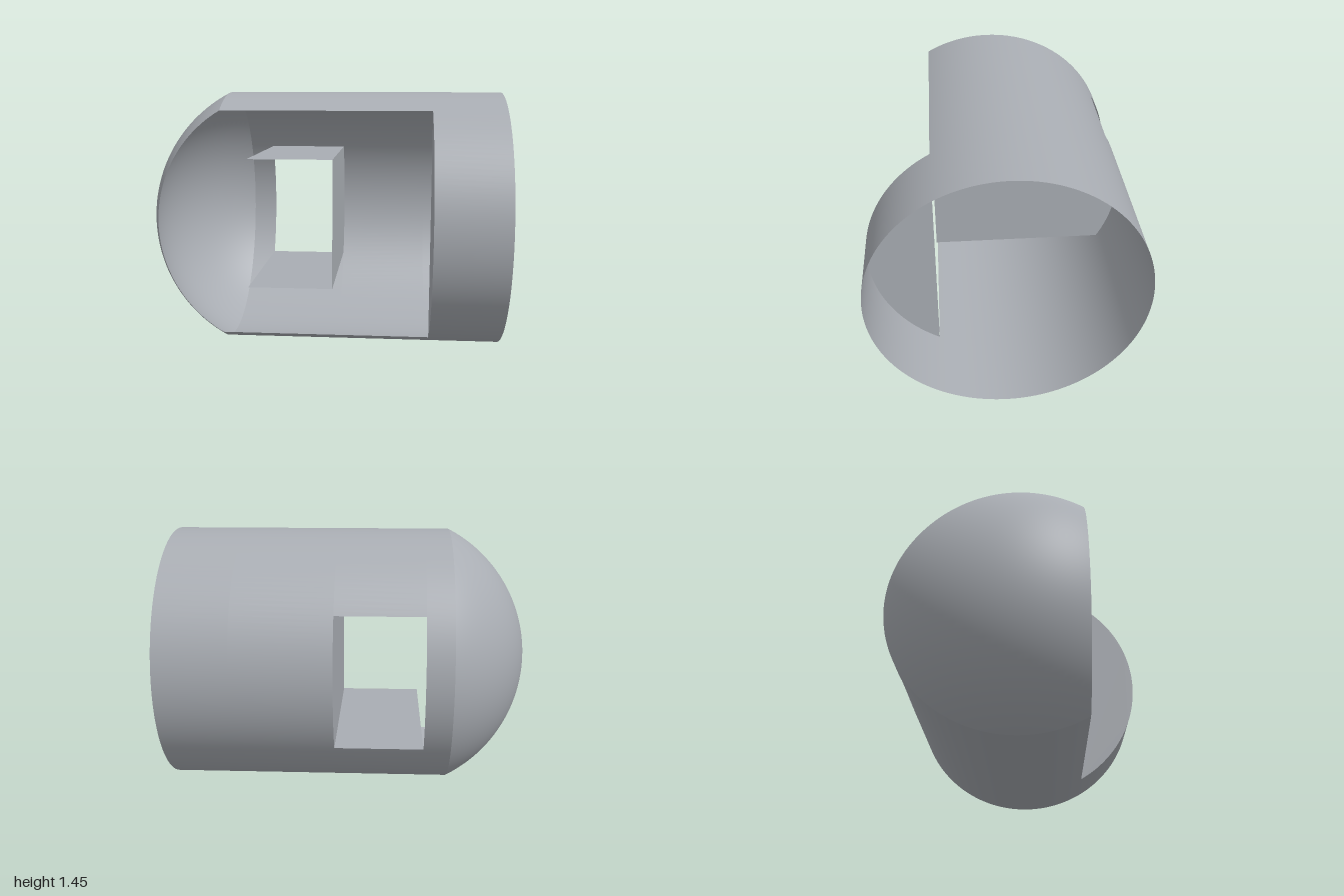
import * as THREE from 'three';

export function createModel() {
  const group = new THREE.Group();
  const grey = new THREE.MeshStandardMaterial({ color: 0xa9adb3, side: THREE.DoubleSide });
  grey.name = 'grey';

  const R = 0.7235;                                   // tube radius
  const half = R / 2;                                 // front cut plane and half height of the rear window
  const domeX = -0.555, winL = -0.41, winR = 0.065, cutX = 0.603, endX = 1;
  const rad = THREE.MathUtils.degToRad;

  const add = (name, geometry) => {
    const mesh = new THREE.Mesh(geometry, grey);
    mesh.name = name;
    mesh.position.y = R;
    group.add(mesh);
    return mesh;
  };

  // Tube wall: open bands along x; angle 0 is the front, 180 the back
  const band = (name, x0, x1, from, to) => {
    const g = new THREE.CylinderGeometry(R, R, x1 - x0, Math.round((to - from) / 2.5), 1, true, rad(from), rad(to - from));
    g.rotateZ(-Math.PI / 2).translate((x0 + x1) / 2, 0, 0);
    add(name, g);
  };
  band('wallBesideDome', domeX, winL, 60, 300);
  band('wallBelowWindow', winL, winR, 60, 150);
  band('wallAboveWindow', winL, winR, 210, 300);
  band('wallBehindCut', winR, cutX, 60, 300);
  band('endRing', cutX, endX, 0, 360);

  // Dome: spherical cap sliced flat at the front, made of arcs stacked along z
  const h = domeX + 1;
  const sphereR = (R * R + h * h) / (2 * h);
  const centreX = sphereR - 1;
  const dome = new THREE.PlaneGeometry(1, 1, 48, 48);
  const pos = dome.attributes.position, nor = dome.attributes.normal;
  for (let i = 0; i < pos.count; i++) {
    const z = R * Math.sin(rad(-90 + 120 * (pos.getX(i) + 0.5)));
    const arcR = Math.sqrt(sphereR ** 2 - z * z);
    const a = 2 * pos.getY(i) * Math.acos(Math.min(1, (sphereR - h) / arcR));
    const x = -arcR * Math.cos(a), y = arcR * Math.sin(a);
    pos.setXYZ(i, centreX + x, y, z);
    nor.setXYZ(i, x / sphereR, y / sphereR, z / sphereR);
  }
  add('dome', dome);

  // Flat plates across the tube, drawn as (z, y) outlines
  const crossPlate = (name, shape, x) =>
    add(name, new THREE.ShapeGeometry(shape, 48).rotateY(-Math.PI / 2).translate(x, 0, 0));

  const segment = new THREE.Shape();
  segment.absarc(0, 0, R, rad(-60), rad(60), false);
  crossPlate('cutEndPlate', segment, cutX);

  const divider = new THREE.Shape();
  divider.moveTo(half, -half);
  divider.lineTo(half, half);
  divider.absarc(0, 0, R, rad(150), rad(210), false);
  crossPlate('windowSidePlate', divider, winR);

  // Shelves above and below the window, running from the back wall to the front cut
  const backZ = -R * Math.cos(rad(30));
  for (const side of [-1, 1]) {
    const shelf = new THREE.PlaneGeometry(winR - winL, half - backZ);
    shelf.rotateX(-Math.PI / 2).translate((winL + winR) / 2, side * half, (half + backZ) / 2);
    add(side > 0 ? 'upperShelf' : 'lowerShelf', shelf);
  }

  return group;
}
